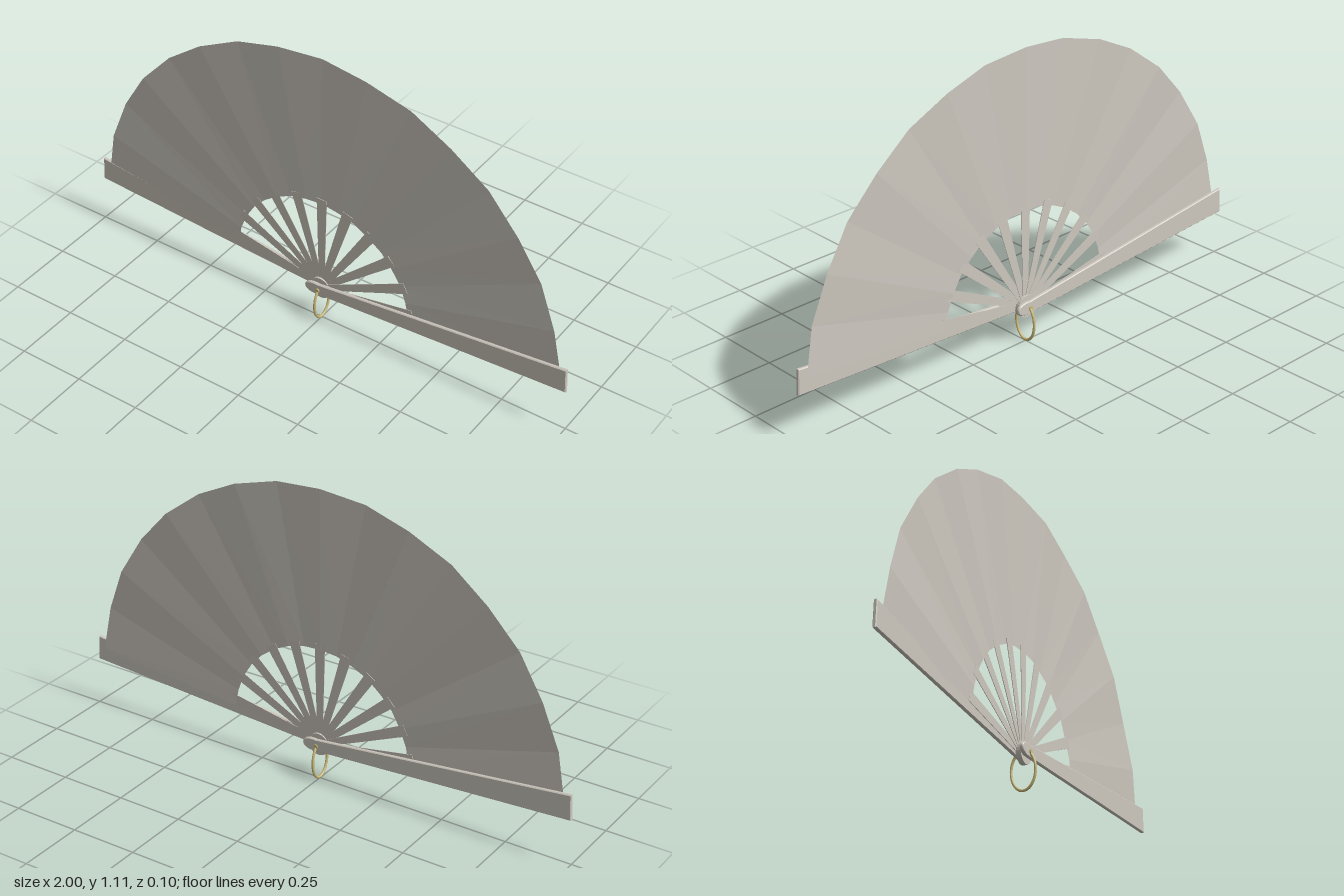
import * as THREE from 'three';

export function createModel() {
  const fan = new THREE.Group();
  fan.name = 'foldingFan';
  const ivory = new THREE.MeshStandardMaterial({ color: 0xcdc8be });
  ivory.name = 'ivory';
  const ivoryLeaf = new THREE.MeshStandardMaterial({ color: 0xcdc8bf, side: THREE.DoubleSide });
  ivoryLeaf.name = 'ivoryLeaf';
  const brass = new THREE.MeshStandardMaterial({ color: 0xcdbc7c });
  brass.name = 'brass';

  const PIVOT = 0.14, INNER = 0.37, OUTER = 0.97;
  const rad = THREE.MathUtils.degToRad;
  const add = (parent, name, geometry, material) => {
    const mesh = new THREE.Mesh(geometry, material);
    mesh.name = name;
    parent.add(mesh);
    return mesh;
  };

  // Pleated leaf: an annular sector drifting from back (left) to front (right)
  const folds = 16, spread = 84.5;
  const corner = (i, r) => {
    const t = (i / folds) * 2 - 1;
    const a = rad(t * spread);
    const z = t * 0.008 + (i % 2 ? 0.003 : -0.003) * (r / OUTER);
    return [Math.sin(a) * r, PIVOT + Math.cos(a) * r, z];
  };
  const leafPoints = [];
  for (let i = 0; i < folds; i++) {
    const a = corner(i, INNER), b = corner(i + 1, INNER);
    const c = corner(i + 1, OUTER), d = corner(i, OUTER);
    leafPoints.push(...a, ...b, ...c, ...a, ...c, ...d);
  }
  const leafGeometry = new THREE.BufferGeometry();
  leafGeometry.setAttribute('position', new THREE.Float32BufferAttribute(leafPoints, 3));
  leafGeometry.computeVertexNormals();
  add(fan, 'pleatedLeaf', leafGeometry, ivoryLeaf);

  // Sticks: tapered slats with round heads stacked on the pivot
  const stickShape = new THREE.Shape();
  stickShape.moveTo(0.012, 0.04);
  stickShape.lineTo(0.021, INNER + 0.02);
  stickShape.lineTo(-0.021, INNER + 0.02);
  stickShape.lineTo(-0.012, 0.04);
  stickShape.absarc(0, 0, 0.042, rad(107), rad(433), false);
  const stickGeometry = new THREE.ExtrudeGeometry(stickShape, { depth: 0.002, bevelEnabled: false, curveSegments: 10 });
  for (let i = -5; i <= 5; i++) {
    const stick = add(fan, 'stick', stickGeometry, ivory);
    stick.position.set(0, PIVOT, i * 0.0017 - 0.001);
    stick.rotation.z = -rad(i * 16.2);
  }

  // Guards: thick end slats, one in front on the left side, its twin behind
  const guardShape = new THREE.Shape();
  guardShape.moveTo(0, 0.122);
  guardShape.lineTo(0.996, 0.182);
  guardShape.lineTo(0.992, 0.272);
  guardShape.lineTo(0, 0.162);
  guardShape.bezierCurveTo(-0.035, 0.166, -0.053, 0.156, -0.053, 0.142);
  guardShape.bezierCurveTo(-0.053, 0.126, -0.03, 0.118, 0, 0.122);
  const guardGeometry = new THREE.ExtrudeGeometry(guardShape, {
    depth: 0.008, bevelThickness: 0.003, bevelSize: 0.003, bevelSegments: 1, curveSegments: 8,
  });
  for (const [name, turn] of [['leftGuard', 0], ['rightGuard', Math.PI]]) {
    const side = new THREE.Group();
    side.name = name;
    side.rotation.y = turn;
    const guard = add(side, 'guardSlat', guardGeometry, ivory);
    guard.position.z = 0.0145;
    guard.rotation.y = 0.003;
    fan.add(side);
  }

  // Rivet through the pivot
  const rivet = add(fan, 'rivet', new THREE.CylinderGeometry(0.008, 0.008, 0.06, 12), brass);
  rivet.rotation.x = Math.PI / 2;
  rivet.position.y = PIVOT;

  // Oval hanging ring, seen edge-on from the front
  const ringPath = [];
  for (let i = 0; i < 24; i++) {
    const a = (i / 24) * Math.PI * 2;
    ringPath.push(new THREE.Vector3(0, 0.076 + Math.cos(a) * 0.071, Math.sin(a) * 0.045));
  }
  add(fan, 'hangingRing',
    new THREE.TubeGeometry(new THREE.CatmullRomCurve3(ringPath, true), 48, 0.005, 8, true), brass);

  return fan;
}
